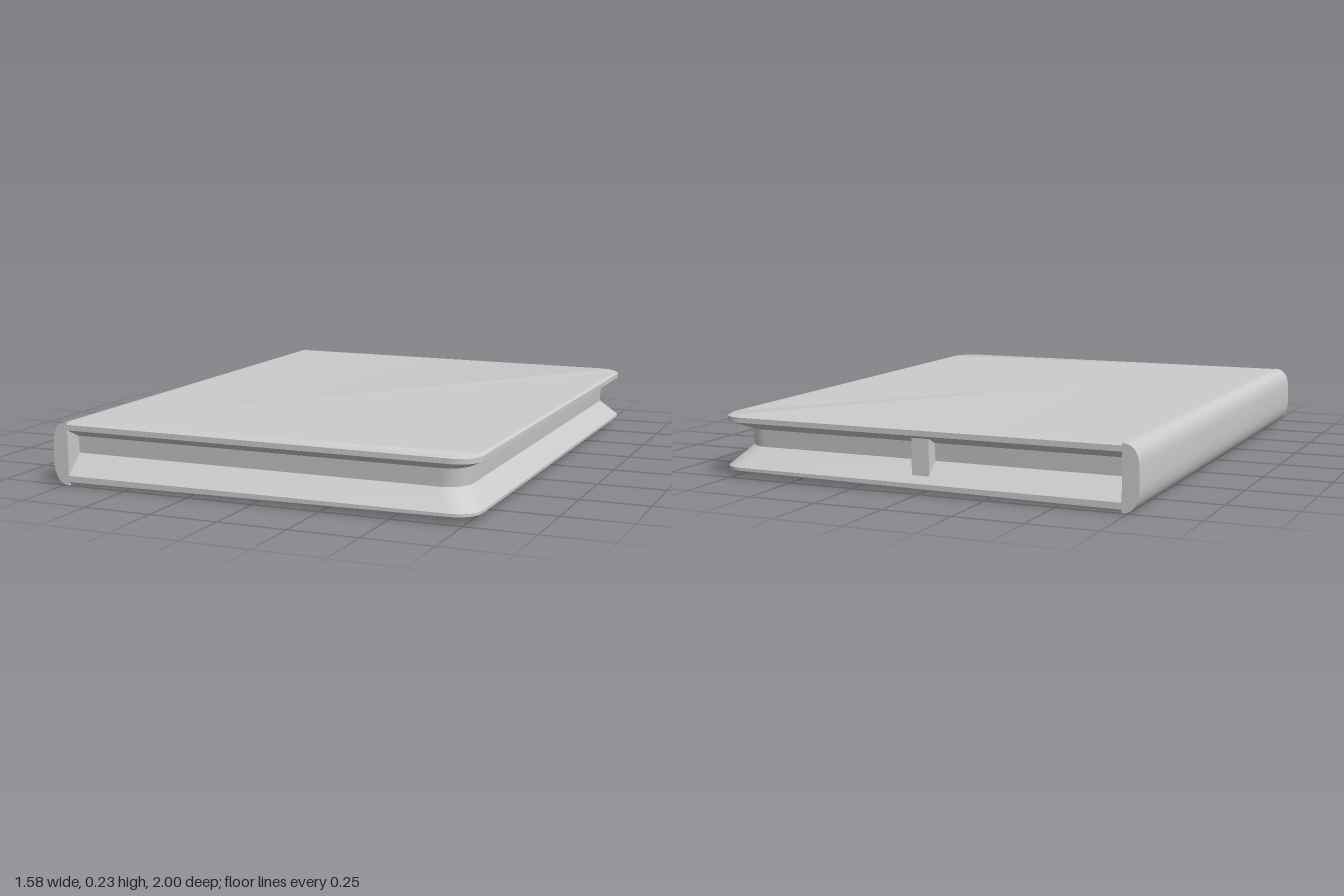
import * as THREE from 'three';
import { toCreasedNormals } from 'three/addons/utils/BufferGeometryUtils.js';

const SPINE_X = -0.73, EDGE_X = 0.79, HALF_Z = 1;

// plan outline, rounded on the two corners away from the spine
function outline(inset) {
  const x1 = EDGE_X - inset * 0.8, z1 = HALF_Z - inset, r = 0.085, steps = 6;
  const pts = [[SPINE_X, z1]];
  for (let i = 0; i <= steps; i++) {
    const a = (i / steps) * Math.PI / 2;
    pts.push([x1 - r + r * Math.sin(a), z1 - r + r * Math.cos(a)]);
  }
  return pts.concat(pts.slice().reverse().map(([x, z]) => [x, -z]));
}

// stack of outlines: [inset, height at spine, height at fore edge]
function loft(rings, capBottom, capTop) {
  const loops = rings.map(([inset, y0, y1]) => outline(inset).map(([x, z]) =>
    [x, THREE.MathUtils.mapLinear(x, SPINE_X, EDGE_X, y0, y1), z]));
  const n = loops[0].length, pos = [];
  const tri = (a, b, c) => pos.push(...a, ...b, ...c);
  for (let k = 0; k + 1 < loops.length; k++) {
    for (let i = 0; i < n; i++) {
      const j = (i + 1) % n, lo = loops[k], hi = loops[k + 1];
      tri(lo[i], lo[j], hi[j]);
      tri(lo[i], hi[j], hi[i]);
    }
  }
  const first = loops[0], last = loops[loops.length - 1];
  for (let i = 1; i + 1 < n; i++) {
    if (capBottom) tri(first[0], first[i + 1], first[i]);
    if (capTop) tri(last[0], last[i], last[i + 1]);
  }
  const geo = new THREE.BufferGeometry();
  geo.setAttribute('position', new THREE.Float32BufferAttribute(pos, 3));
  return toCreasedNormals(geo, 0.5);
}

export function createModel() {
  const book = new THREE.Group();
  book.name = 'book';
  const mat = new THREE.MeshStandardMaterial({ color: 0xcccccc, side: THREE.DoubleSide });
  const add = (name, geo) => {
    const mesh = new THREE.Mesh(geo, mat);
    mesh.name = name;
    book.add(mesh);
    return mesh;
  };

  // thin covers with softened rims
  add('bottomCover', loft([[0.012, 0.003, 0.022], [0, 0.012, 0.028], [0, 0.035, 0.038]], true, false));
  add('topCover', loft([[0, 0.2, 0.2], [0, 0.22, 0.218], [0.012, 0.228, 0.225]], false, true));

  // pages set back between the covers, flaring out to meet the rims
  add('pages', loft([[0, 0.035, 0.038], [0.075, 0.105, 0.105], [0.07, 0.168, 0.168], [0, 0.2, 0.2]], false, false));

  // rounded spine
  const s = new THREE.Shape();
  s.moveTo(SPINE_X, 0.228);
  s.bezierCurveTo(-0.765, 0.228, -0.785, 0.205, -0.788, 0.16);
  s.lineTo(-0.79, 0.085);
  s.bezierCurveTo(-0.788, 0.03, -0.765, 0.0, SPINE_X, 0.0);
  s.closePath();
  const spine = new THREE.ExtrudeGeometry(s, { depth: 2 * HALF_Z, bevelEnabled: false, curveSegments: 8 });
  spine.translate(0, 0, -HALF_Z);
  add('spine', toCreasedNormals(spine, 0.6));

  // short tab bridging the groove at the back edge
  add('tab', new THREE.BoxGeometry(0.065, 0.165, 0.05)).position.set(0, 0.1175, -0.95);

  return book;
}
